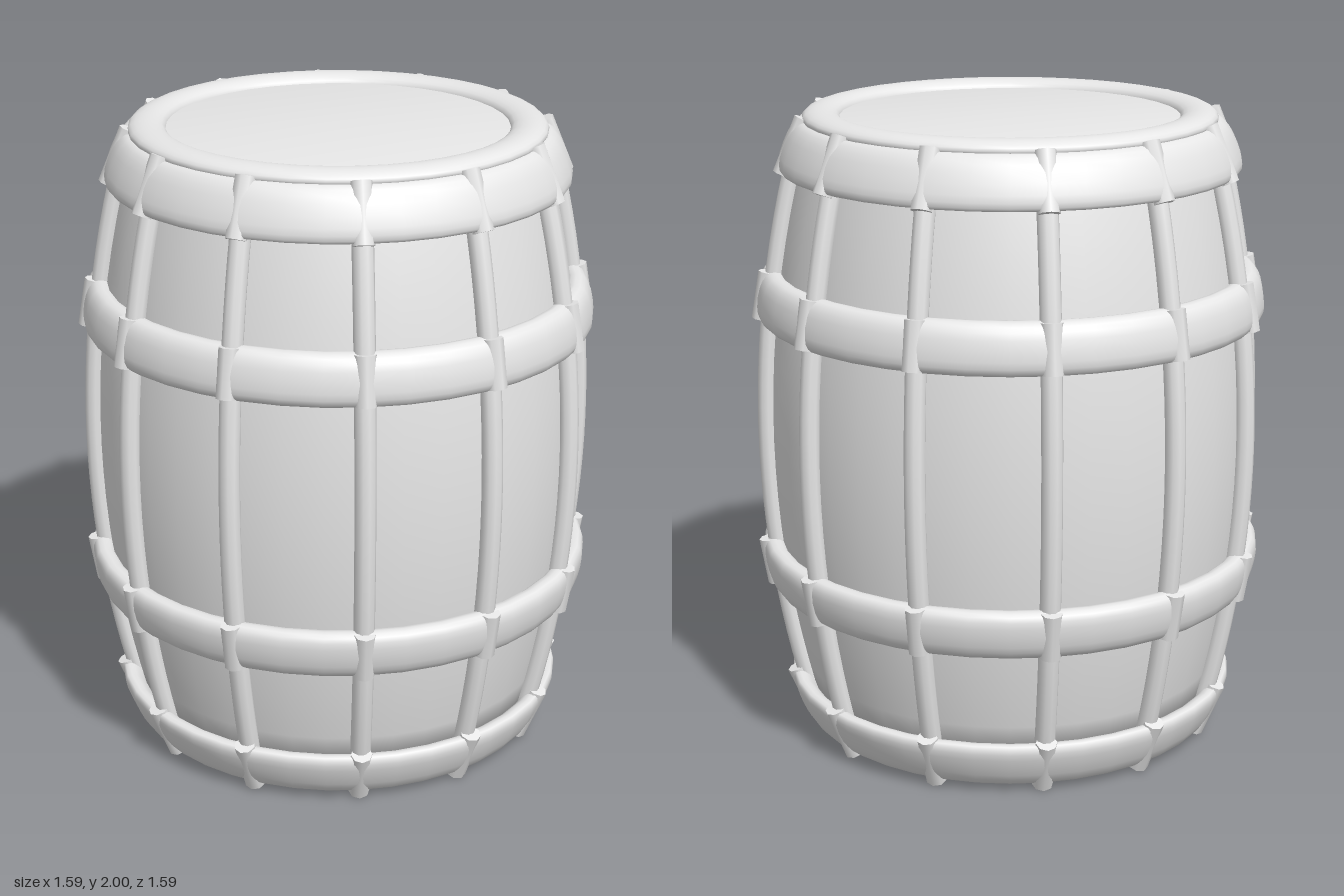
import * as THREE from 'three';

const MID = 0.995;   // height of the widest point
const SIDES = 40;
const RIBS = 12;

// Radius of the stave seams at a given height
const bulge = (y) => 0.772 - 0.14 * ((y - MID) / 0.97) ** 2;

function lathe(points, material, name) {
  const mesh = new THREE.Mesh(new THREE.LatheGeometry(points, SIDES), material);
  mesh.name = name;
  return mesh;
}

// Closed, rounded cross-section swept round the axis; lean tilts it inward towards the top
function ring(radius, y, halfThick, halfHeight, lean, power, material, name) {
  const points = [];
  const n = 20;
  for (let i = 0; i <= n; i++) {
    const a = -Math.PI + (i / n) * Math.PI * 2;
    const c = Math.cos(a), s = Math.sin(a);
    const u = Math.sign(c) * Math.abs(c) ** power * halfThick;
    const v = Math.sign(s) * Math.abs(s) ** power * halfHeight;
    points.push(new THREE.Vector2(radius + u - v * lean, y + v));
  }
  return lathe(points, material, name);
}

export function createModel() {
  const grey = new THREE.MeshStandardMaterial({ color: 0xe7e7e7 });
  grey.name = 'pale grey';
  const barrel = new THREE.Group();
  barrel.name = 'barrel';

  // Body with a recessed floor and a flat lid
  const profile = [new THREE.Vector2(0, 0.13)];
  for (let i = 0; i <= 20; i++) {
    const y = 0.13 + (i / 20) * 1.843;
    profile.push(new THREE.Vector2(bulge(y) - 0.014, y));
  }
  profile.push(new THREE.Vector2(0, 1.973));
  barrel.add(lathe(profile, grey, 'body'));

  // Rounded rim around the lid
  barrel.add(ring(0.582, 1.972, 0.058, 0.028, 0, 1, grey, 'rim'));

  // Hoops, mirrored about the middle
  const hoops = [
    { name: 'EndHoop', rise: 0.895, radius: 0.664, lean: 0.42, stud: 0.666, thick: 0.036, length: 0.182 },
    { name: 'MiddleHoop', rise: 0.435, radius: 0.752, lean: 0.17, stud: 0.766, thick: 0.041, length: 0.15 },
  ];
  const studs = [];
  for (const h of hoops) {
    for (const side of [1, -1]) {
      const y = MID + side * h.rise;
      const prefix = side > 0 ? 'upper' : 'lower';
      barrel.add(ring(h.radius, y, h.thick, 0.078, side * h.lean, 0.8, grey, prefix + h.name));
      const geometry = new THREE.CylinderGeometry(0.033, 0.033, h.length, 8);
      studs.push({ y, radius: h.stud, lean: side * h.lean, geometry });
    }
  }

  // Ribs over the stave seams, with short studs where they cross the hoops
  const path = [];
  for (let i = 0; i <= 12; i++) {
    const y = 0.1 + (i / 12) * 1.79;
    path.push(new THREE.Vector3(0, y, bulge(y)));
  }
  const ribGeometry = new THREE.TubeGeometry(new THREE.CatmullRomCurve3(path), 24, 0.032, 10);
  for (let i = 0; i < RIBS; i++) {
    const seam = new THREE.Group();
    seam.name = 'staveSeam';
    seam.rotation.y = ((i + 0.5) / RIBS) * Math.PI * 2;
    const rib = new THREE.Mesh(ribGeometry, grey);
    rib.name = 'rib';
    seam.add(rib);
    for (const s of studs) {
      const stud = new THREE.Mesh(s.geometry, grey);
      stud.name = 'hoopStud';
      stud.position.set(0, s.y, s.radius);
      stud.rotation.x = -Math.atan(s.lean);
      seam.add(stud);
    }
    barrel.add(seam);
  }
  return barrel;
}
